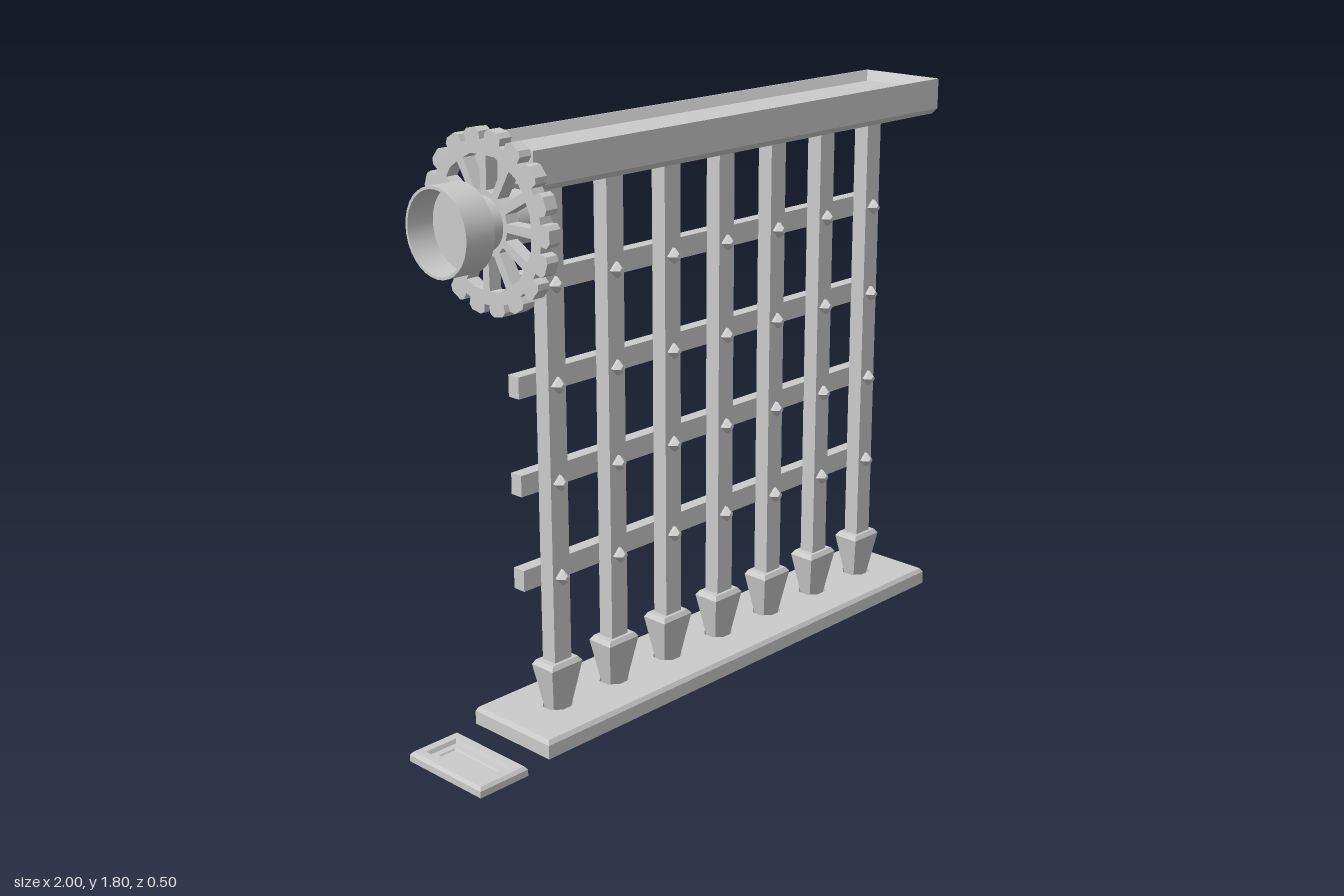
import * as THREE from 'three';

const flat = new THREE.MeshStandardMaterial({ color: 0xcccccc, flatShading: true, side: THREE.DoubleSide });
const smooth = new THREE.MeshStandardMaterial({ color: 0xcccccc, side: THREE.DoubleSide });

// Joins rectangular rings [halfX, halfZ, y] into one surface, optionally capped
function loftRects(rings, capped = true) {
  const pos = [], idx = [];
  for (const [hx, hz, y] of rings) pos.push(hx, y, hz, hx, y, -hz, -hx, y, -hz, -hx, y, hz);
  for (let r = 0; r < rings.length - 1; r++) {
    for (let c = 0; c < 4; c++) {
      const a = r * 4 + c, b = r * 4 + (c + 1) % 4;
      idx.push(a, b, b + 4, a, b + 4, a + 4);
    }
  }
  if (capped) {
    const t = (rings.length - 1) * 4;
    idx.push(0, 2, 1, 0, 3, 2, t, t + 1, t + 2, t, t + 2, t + 3);
  }
  const geo = new THREE.BufferGeometry();
  geo.setAttribute('position', new THREE.Float32BufferAttribute(pos, 3));
  geo.setIndex(idx);
  const out = geo.toNonIndexed();
  out.computeVertexNormals();
  return out;
}

// Toothed wheel outline with spoke windows, extruded along z
function gearGeometry(teeth, windows, thickness) {
  const shape = new THREE.Shape();
  const pitch = Math.PI * 2 / teeth;
  const outline = [];
  for (let i = 0; i < teeth; i++) {
    for (const [f, r] of [[-0.38, 0.222], [-0.36, 0.243], [-0.2, 0.253], [0.2, 0.253], [0.36, 0.243], [0.38, 0.222]]) {
      const a = (i + f) * pitch;
      outline.push(new THREE.Vector2(Math.cos(a) * r, Math.sin(a) * r));
    }
  }
  shape.setFromPoints(outline);
  for (let i = 0; i < windows; i++) {
    const mid = (i + 0.5) * Math.PI * 2 / windows;
    const pts = [[0.09, -0.012], [0.18, -0.034], [0.187, 0], [0.18, 0.034], [0.09, 0.012]].map(([r, s]) =>
      new THREE.Vector2(r * Math.cos(mid) - s * Math.sin(mid), r * Math.sin(mid) + s * Math.cos(mid)));
    shape.holes.push(new THREE.Path().setFromPoints(pts));
  }
  return new THREE.ExtrudeGeometry(shape, { depth: thickness, bevelEnabled: false });
}

export function createModel() {
  const model = new THREE.Group();
  model.name = 'portcullis';
  const add = (name, geo, x, y, z, mat = flat, parent = model) => {
    const mesh = new THREE.Mesh(geo, mat);
    mesh.name = name;
    mesh.position.set(x, y, z);
    parent.add(mesh);
    return mesh;
  };
  const barXs = Array.from({ length: 7 }, (_, i) => -0.562 + i * 0.2315);
  const railYs = [0.485, 0.773, 1.062, 1.35];

  // Header beam, recessed above and below
  const bx = 0.8675, bz = 0.145;
  add('headerBeam', loftRects([
    [bx - 0.05, bz - 0.05, 1.68], [bx - 0.04, bz - 0.035, 1.645], [bx - 0.013, bz - 0.013, 1.645],
    [bx, bz, 1.662], [bx, bz, 1.757], [bx - 0.006, bz - 0.006, 1.757],
    [bx - 0.024, bz - 0.02, 1.725], [bx - 0.042, bz - 0.043, 1.725], [bx - 0.044, bz - 0.045, 1.73],
  ]), 0.1305, 0, 0);

  // Threshold: a hollow rim under a plate pierced by spike sockets
  const sx = 0.8715, sz = 0.159, cx = 0.1265;
  add('thresholdRim', loftRects([
    [sx - 0.03, sz - 0.03, 0.052], [sx - 0.025, sz - 0.025, 0.02], [sx, sz, 0.02],
    [sx, sz, 0.062], [sx - 0.008, sz - 0.008, 0.075],
  ], false), cx, 0, 0);
  const px = sx - 0.008, pz = sz - 0.008;
  const plate = new THREE.Shape([[-px, -pz], [px, -pz], [px, pz], [-px, pz]].map(p => new THREE.Vector2(...p)));
  for (const x of barXs) {
    plate.holes.push(new THREE.Path(Array.from({ length: 8 }, (_, i) => {
      const a = (i + 0.5) * Math.PI / 4;
      return new THREE.Vector2(x - cx + Math.cos(a) * 0.05, Math.sin(a) * 0.045);
    })));
  }
  const plateGeo = new THREE.ExtrudeGeometry(plate, { depth: 0.025, bevelEnabled: false });
  plateGeo.rotateX(-Math.PI / 2);
  add('thresholdPlate', plateGeo, cx, 0.05, 0);

  // Upright bars, their spikes and the front rivets
  const barGeo = new THREE.BoxGeometry(0.065, 1.48, 0.052);
  const spikeGeo = loftRects([
    [0.01, 0.009, 0.006], [0.013, 0.011, 0.018], [0.028, 0.016, 0.026], [0.037, 0.021, 0.075],
    [0.06, 0.044, 0.208], [0.05, 0.036, 0.222],
  ]);
  const rivetGeo = new THREE.LatheGeometry(
    [[0.024, 0], [0.024, 0.01], [0.009, 0.026], [0, 0.026]].map(p => new THREE.Vector2(...p)), 4);
  rivetGeo.rotateX(Math.PI / 2);
  for (const x of barXs) {
    add('uprightBar', barGeo, x, 0.95, 0);
    add('spike', spikeGeo, x, 0, 0);
    for (const y of railYs) add('rivet', rivetGeo, x, y, 0.026);
  }

  // Cross rails behind the bars
  const railGeo = new THREE.BoxGeometry(1.583, 0.064, 0.042);
  for (const y of railYs) add('crossRail', railGeo, 0.1315, y, -0.046);

  // Winch: gear wheel, axle and open drum
  const winch = new THREE.Group();
  winch.name = 'winch';
  winch.position.set(0, 1.553, 0);
  model.add(winch);
  const gear = gearGeometry(18, 12, 0.04);
  gear.rotateY(Math.PI / 2);
  add('gearWheel', gear, -0.785, 0, 0, flat, winch);

  // Surface turned about the x axis, one hard-edged piece per profile step
  const turned = (name, profile) => {
    for (let i = 0; i < profile.length - 1; i++) {
      const geo = new THREE.LatheGeometry(profile.slice(i, i + 2).map(([r, x]) => new THREE.Vector2(r, x)), 32);
      geo.rotateZ(-Math.PI / 2);
      add(name, geo, 0, 0, 0, smooth, winch);
    }
  };
  turned('axle', [[0.075, -0.86], [0.075, -0.652], [0.062, -0.64], [0, -0.64]]);
  turned('drum', [[0, -0.865], [0.115, -0.865], [0.115, -0.95], [0.123, -0.95], [0.123, -0.855], [0, -0.855]]);

  // Small tray-like floor plate beside the gate
  add('floorPlate', loftRects([
    [0.055, 0.115, 0.01], [0.06, 0.12, 0], [0.0875, 0.154, 0], [0.0875, 0.154, 0.02], [0.08, 0.146, 0.03],
    [0.055, 0.12, 0.03], [0.05, 0.115, 0.018], [0.03, 0.095, 0.018], [0.027, 0.092, 0.013],
  ]), -0.9125, 0, 0.005);

  return model;
}
